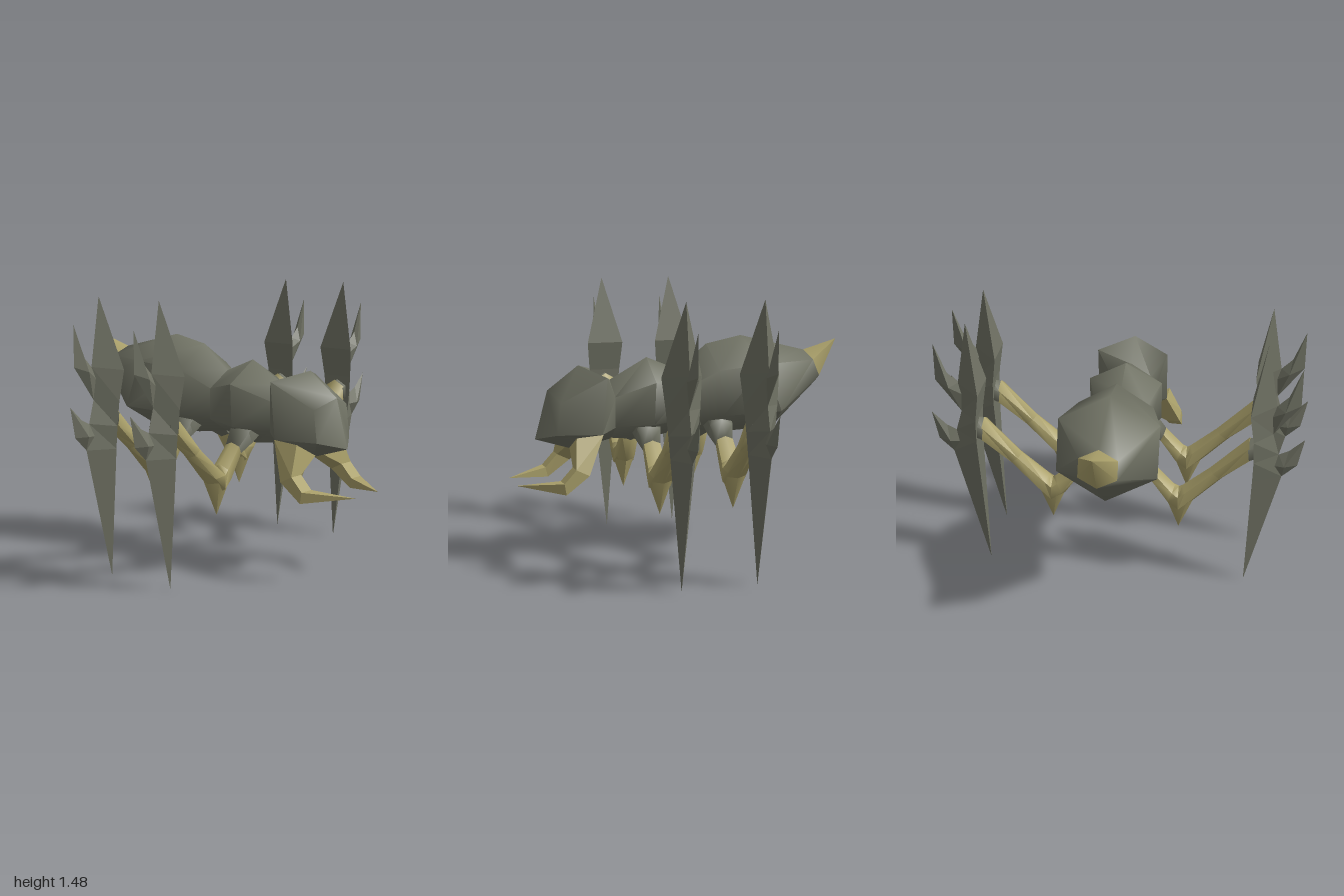
import * as THREE from 'three';
import { toCreasedNormals } from 'three/addons/utils/BufferGeometryUtils.js';

const shell = new THREE.MeshStandardMaterial({ color: 0x707264 });
shell.name = 'grey shell';
const horn = new THREE.MeshStandardMaterial({ color: 0xaaa06a });
horn.name = 'tan horn';

// Skins a list of equal-sized rings of points, closes both ends, and faces it outward
function loft(name, rings, material, crease = 1.1) {
  const n = rings[0].length;
  const tris = [];
  const add = (a, b, c) => {
    const area = new THREE.Triangle(a, b, c).getArea();
    if (area > 1e-7) tris.push([a, b, c]);
  };
  for (let r = 0; r + 1 < rings.length; r++) {
    for (let i = 0; i < n; i++) {
      const j = (i + 1) % n;
      add(rings[r][i], rings[r][j], rings[r + 1][j]);
      add(rings[r][i], rings[r + 1][j], rings[r + 1][i]);
    }
  }
  const last = rings[rings.length - 1];
  for (let i = 1; i + 1 < n; i++) {
    add(rings[0][0], rings[0][i + 1], rings[0][i]);
    add(last[0], last[i], last[i + 1]);
  }
  let volume = 0;
  for (const [a, b, c] of tris) volume += a.dot(b.clone().cross(c));
  const points = tris.flatMap(([a, b, c]) => (volume < 0 ? [a, c, b] : [a, b, c]));
  let geometry = new THREE.BufferGeometry().setFromPoints(points);
  geometry.computeVertexNormals();
  if (crease > 0) geometry = toCreasedNormals(geometry, crease);
  const mesh = new THREE.Mesh(geometry, material);
  mesh.name = name;
  return mesh;
}

const V = (x, y, z) => new THREE.Vector3(x, y, z);

// Hexagon from a top corner to a bottom corner, half as wide as given along an axis
function hex(top, bottom, halfWidth, axis) {
  const centre = top.clone().add(bottom).multiplyScalar(0.5);
  const up = top.clone().sub(centre);
  return Array.from({ length: 6 }, (_, k) => {
    const t = (k * Math.PI) / 3;
    return centre.clone()
      .addScaledVector(up, Math.cos(t))
      .addScaledVector(axis, (Math.sin(t) * halfWidth) / 0.866);
  });
}

// Body ring: z and y of the top corner, z and y of the bottom corner, half width
const bodyRing = ([zt, yt, zb, yb, w]) => hex(V(0, yt, zt), V(0, yb, zb), w, V(1, 0, 0));

// Head ring: top, upper side, lower side and bottom corners, mirrored
const headRing = (top, upper, lower, bottom) => {
  const m = ([x, y, z]) => V(-x, y, z);
  return [V(...top), V(...upper), V(...lower), V(...bottom), m(lower), m(upper)];
};

function makeLeg(side, z) {
  const leg = new THREE.Group();
  leg.name = (side > 0 ? 'left' : 'right') + (z > 0 ? 'FrontLeg' : 'BackLeg');
  const ring = ([xt, yt, xb, yb, w]) =>
    hex(V(side * xt, yt, z), V(side * xb, yb, z), w, V(0, 0, 1));

  leg.add(loft('hip', [[0.1, 0.87, 0.05, 0.71, 0.075], [0.17, 0.79, 0.12, 0.67, 0.065],
    [0.225, 0.71, 0.19, 0.635, 0.045]].map(ring), shell));
  leg.add(loft('thigh', [[0.225, 0.71, 0.19, 0.635, 0.045], [0.325, 0.61, 0.28, 0.5, 0.052],
    [0.345, 0.598, 0.35, 0.45, 0.06]].map(ring), horn));
  leg.add(loft('kneeSpike', [[0.28, 0.51, 0.43, 0.535, 0.055],
    [0.348, 0.34, 0.348, 0.34, 0]].map(ring), horn));
  leg.add(loft('shin', [[0.345, 0.598, 0.35, 0.45, 0.06], [0.365, 0.61, 0.435, 0.53, 0.055],
    [0.51, 0.735, 0.58, 0.68, 0.042], [0.712, 0.94, 0.725, 0.8, 0.06]].map(ring), horn));
  leg.add(loft('cuff', [[0.705, 0.93, 0.72, 0.8, 0.061],
    [0.77, 0.95, 0.77, 0.82, 0.055]].map(ring), shell));

  // Blade: triangular slices of outer ridge plus two inner wings
  const slices = [[0.786, 1.495, 0.786, 1.495, 0], [0.845, 1.14, 0.716, 1.12, 0.105],
    [0.834, 0.97, 0.738, 0.96, 0.09], [0.868, 0.85, 0.742, 0.83, 0.078],
    [0.89, 0.715, 0.739, 0.71, 0.066], [0.716, 0.02, 0.716, 0.02, 0]];
  leg.add(loft('blade', slices.map(([xo, yo, xi, yi, w]) => [
    V(side * xo, yo, z), V(side * xi, yi, z + w), V(side * xi, yi, z - w)]), shell, 0));

  // Barbs: flat outlines thickened to a peak on both faces
  const barb = (name, [px, py], outline) => leg.add(loft(name, [
    outline.map(() => V(side * px, py, z + 0.03)),
    outline.map(([x, y]) => V(side * x, y, z)),
    outline.map(() => V(side * px, py, z - 0.03))], shell, 0));
  barb('upperBarb', [0.89, 1.12], [[0.78, 1.05], [0.845, 1.14], [0.904, 1.2],
    [0.968, 1.365], [0.968, 1.15], [0.834, 0.97]]);
  barb('lowerBarb', [0.9, 0.79], [[0.79, 0.78], [0.868, 0.85], [0.92, 0.875],
    [1, 0.95], [0.968, 0.79], [0.89, 0.715]]);
  return leg;
}

// Mandible: four-cornered slices from under the head to a forward point
function makeMandible(side) {
  const slices = [
    [[0.195, 0.75, 0.475], [0.195, 0.74, 0.62], [0.03, 0.66, 0.62], [0.03, 0.66, 0.52]],
    [[0.265, 0.55, 0.57], [0.265, 0.585, 0.64], [0.18, 0.585, 0.64], [0.185, 0.55, 0.57]],
    [[0.265, 0.455, 0.695], [0.265, 0.515, 0.705], [0.18, 0.515, 0.705], [0.19, 0.46, 0.69]],
    Array(4).fill([0.1, 0.487, 0.925])];
  return loft(side > 0 ? 'leftMandible' : 'rightMandible',
    slices.map((s) => s.map(([x, y, z]) => V(side * x, y, z))), horn, 0);
}

export function createModel() {
  const model = new THREE.Group();
  model.name = 'insect';

  // Body from back to front
  const rear = [-0.735, 1.13, -0.81, 0.95, 0.1];
  model.add(loft('tailSting', [[-0.93, 1.185, -0.93, 1.185, 0], rear].map(bodyRing), horn));
  model.add(loft('abdomen', [rear, [-0.36, 1.225, -0.55, 0.705, 0.265],
    [-0.16, 1.185, -0.2, 0.69, 0.2], [0.005, 1.05, 0.005, 0.718, 0.145]].map(bodyRing), shell));
  model.add(loft('thorax', [[0, 1.05, 0, 0.718, 0.145], [0.18, 1.125, 0.2, 0.675, 0.2],
    [0.39, 1.01, 0.39, 0.695, 0.115]].map(bodyRing), shell));
  model.add(loft('head', [
    bodyRing([0.385, 1.01, 0.385, 0.69, 0.115]).reverse().map((p) => V(-p.x, p.y, p.z))
      .map((_, i, all) => all[(i + 5) % 6]),
    headRing([0, 1.097, 0.56], [0.197, 1.05, 0.45], [0.197, 0.75, 0.48], [0, 0.645, 0.59]),
    headRing([0, 0.97, 0.73], [0.145, 0.92, 0.69], [0.145, 0.75, 0.71], [0, 0.71, 0.8]),
  ], shell));

  for (const side of [1, -1]) {
    model.add(makeMandible(side));
    for (const z of [0.215, -0.195]) model.add(makeLeg(side, z));
  }
  return model;
}
